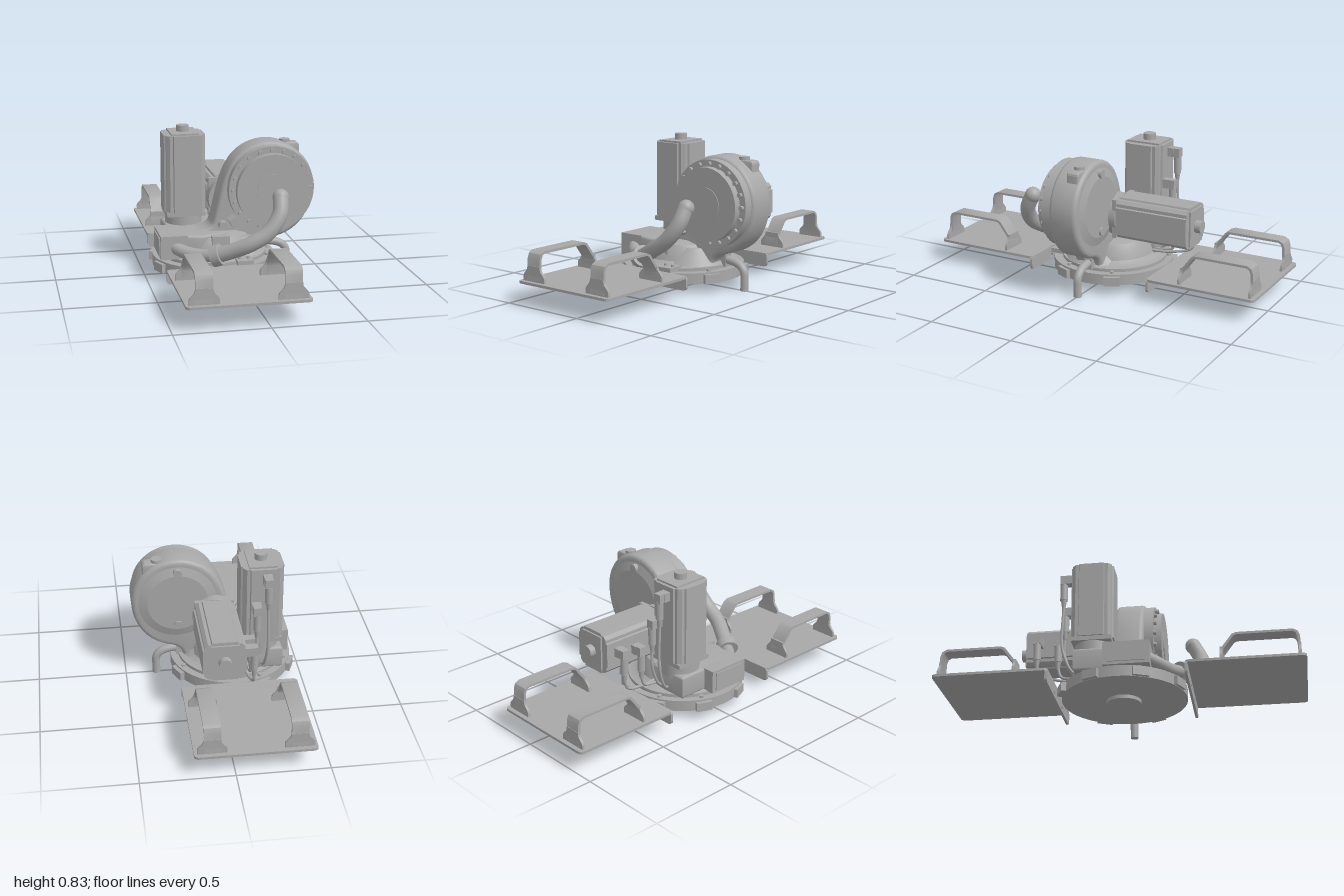
import * as THREE from 'three';
import { toCreasedNormals } from 'three/addons/utils/BufferGeometryUtils.js';

const grey = new THREE.MeshStandardMaterial({ color: 0xa8a8a8 });
grey.name = 'machine grey';
const V = (x, y, z) => new THREE.Vector3(x, y, z);

function add(parent, name, geo, x = 0, y = 0, z = 0) {
  const m = new THREE.Mesh(geo, grey);
  m.name = name;
  m.position.set(x, y, z);
  parent.add(m);
  return m;
}
const box = (w, h, d) => new THREE.BoxGeometry(w, h, d);
const cyl = (r, h, r2 = r) => new THREE.CylinderGeometry(r2, r, h, 48);
const cylZ = (r, h, rBack = r) => new THREE.CylinderGeometry(r, rBack, h, 64).rotateX(Math.PI / 2);
const tube = (pts, r, n = 40) => new THREE.TubeGeometry(new THREE.CatmullRomCurve3(pts), n, r, 20);
const poly = pts => new THREE.Shape(pts.map(p => new THREE.Vector2(p[0], p[1])));

function extrude(shape, depth, bevel = 0) {
  const g = new THREE.ExtrudeGeometry(shape, {
    depth: depth - 2 * bevel, curveSegments: 32, bevelEnabled: bevel > 0,
    bevelSize: bevel, bevelThickness: bevel, bevelOffset: -bevel, bevelSegments: 4,
  });
  g.translate(0, 0, bevel - depth / 2);
  return toCreasedNormals(g, 0.6);
}

function roundedRect(w, h, r) {
  const s = new THREE.Shape(), x = w / 2, y = h / 2;
  s.absarc(x - r, y - r, r, 0, Math.PI / 2);
  s.absarc(-x + r, y - r, r, Math.PI / 2, Math.PI);
  s.absarc(-x + r, -y + r, r, Math.PI, Math.PI * 1.5);
  s.absarc(x - r, -y + r, r, Math.PI * 1.5, Math.PI * 2);
  return s;
}

// Tray with folded flange and two carrying handles, facing +z
function makeTray() {
  const g = new THREE.Group();
  add(g, 'trayPlate', extrude(roundedRect(0.645, 0.635, 0.025), 0.014).rotateX(-Math.PI / 2), 0, 0.128, 0.682);
  const flange = roundedRect(0.645, 0.08, 0.022);
  for (const x of [-0.106, 0.106]) {
    const hole = new THREE.Path();
    hole.absarc(x, -0.019, 0.013, 0, Math.PI * 2, true);
    flange.holes.push(hole);
  }
  add(g, 'trayFlange', extrude(flange, 0.014), 0, 0.095, 0.372);
  const strap = poly([
    [0.975, 0.14], [0.97, 0.26], [0.96, 0.286], [0.935, 0.3], [0.635, 0.3], [0.612, 0.29], [0.556, 0.215], [0.548, 0.19], [0.548, 0.14],
    [0.562, 0.14], [0.562, 0.187], [0.568, 0.207], [0.622, 0.28], [0.638, 0.287], [0.932, 0.287], [0.948, 0.278], [0.956, 0.258], [0.961, 0.14],
  ]);
  const foot = new THREE.Shape();
  foot.moveTo(-0.078, 0.135);
  foot.lineTo(0.078, 0.135);
  foot.lineTo(0.078, 0.16);
  foot.bezierCurveTo(0.07, 0.185, 0.045, 0.185, 0.045, 0.22);
  foot.lineTo(-0.045, 0.22);
  foot.bezierCurveTo(-0.045, 0.185, -0.07, 0.185, -0.078, 0.16);
  for (const x of [-0.2275, 0.2275]) {
    add(g, 'handleStrap', extrude(strap, 0.09).rotateY(-Math.PI / 2), x);
    add(g, 'handleFoot', extrude(foot, 0.014), x, 0, 0.967);
    add(g, 'handleFoot', extrude(foot, 0.014), x, 0, 0.555);
  }
  return g;
}

// Servo motor standing along +y from its mounting flange
function makeMotor(length) {
  const g = new THREE.Group();
  const q = [[0.118, 0.055], [0.118, 0.068], [0.108, 0.072], [0.108, 0.09], [0.09, 0.108], [0.072, 0.108], [0.068, 0.118], [0.055, 0.118]];
  const outline = [];
  for (let i = 0; i < 4; i++) {
    const c = Math.round(Math.cos(i * Math.PI / 2)), s = Math.round(Math.sin(i * Math.PI / 2));
    for (const [x, y] of q) outline.push([x * c - y * s, x * s + y * c]);
  }
  add(g, 'motorBody', extrude(poly(outline), length).rotateX(-Math.PI / 2), 0, length / 2);
  add(g, 'motorFlange', box(0.22, 0.025, 0.22), 0, -0.0125);
  add(g, 'motorCap', box(0.155, 0.01, 0.2), 0, length + 0.005);
  add(g, 'motorShaftCover', cyl(0.035, 0.04), 0, length + 0.025);
  return g;
}

// Elbow plug hanging off a motor, outlet downward
function makePlug(dx, dz) {
  const g = new THREE.Group();
  add(g, 'plugSocket', box(0.05, 0.05, 0.05));
  add(g, 'plugElbow', box(0.045, 0.05, 0.045), dx * 0.035, 0, dz * 0.035);
  add(g, 'plugBody', cyl(0.021, 0.1), dx * 0.04, -0.07, dz * 0.04);
  add(g, 'plugTail', cyl(0.01, 0.05, 0.017), dx * 0.04, -0.14, dz * 0.04);
  return g;
}

export function createModel() {
  const root = new THREE.Group();
  root.name = 'motorUnit';

  for (const turn of [0, Math.PI]) {
    const tray = makeTray();
    tray.name = turn ? 'backTray' : 'frontTray';
    tray.position.x = -0.1075;
    tray.rotation.y = turn;
    root.add(tray);
  }

  // Round base with boss, lugs and turntable casting
  const cx = -0.105;
  add(root, 'baseDisc', cyl(0.345, 0.062), cx, 0.086, 0.005);
  add(root, 'baseBoss', cyl(0.095, 0.022), cx, 0.046);
  for (const a of [0.45, -0.45, 2.0, -2.0, 2.75, -2.75]) {
    const lug = add(root, 'baseLug', box(0.06, 0.05, 0.09), cx + 0.335 * Math.cos(a), 0.082, 0.335 * Math.sin(a));
    lug.rotation.y = -a;
    add(root, 'baseBolt', cyl(0.012, 0.014), cx + 0.315 * Math.cos(a), 0.122, 0.315 * Math.sin(a));
  }
  const turret = [[0, 0.11], [0.3, 0.11], [0.3, 0.135], [0.26, 0.14], [0.235, 0.16], [0.22, 0.21], [0.2, 0.245], [0.15, 0.262], [0, 0.265]];
  add(root, 'turretCasting', toCreasedNormals(new THREE.LatheGeometry(turret.map(p => new THREE.Vector2(...p)), 64), 0.6), cx);

  // Flat shoulder carrying the upright motor, and the side terminal box
  const shoulder = poly([[-0.37, 0.24], [-0.14, 0.24], [-0.1, 0.05], [-0.08, -0.16], [-0.2, -0.2], [-0.36, -0.16]]);
  add(root, 'shoulder', extrude(shoulder, 0.13, 0.015).rotateX(-Math.PI / 2), 0, 0.2);
  add(root, 'terminalBox', box(0.15, 0.132, 0.25), -0.355, 0.199, 0.055);
  add(root, 'terminalCover', box(0.008, 0.1, 0.2), -0.432, 0.199, 0.055);
  add(root, 'motorPedestal', cyl(0.105, 0.1), -0.25, 0.285, -0.145);

  // Teardrop arm housing
  const arm = new THREE.Shape();
  arm.moveTo(-0.3, 0.14);
  arm.lineTo(0.17, 0.14);
  arm.bezierCurveTo(0.18, 0.18, 0.2, 0.195, 0.24, 0.21);
  arm.bezierCurveTo(0.39, 0.24, 0.457, 0.38, 0.457, 0.5);
  arm.absarc(0.2, 0.5, 0.258, 0, Math.PI * 0.78);
  arm.bezierCurveTo(-0.08, 0.56, -0.09, 0.42, -0.12, 0.32);
  arm.bezierCurveTo(-0.13, 0.275, -0.17, 0.262, -0.3, 0.26);
  add(root, 'armHousing', extrude(arm, 0.17, 0.025), 0, 0, 0.02);
  add(root, 'armBackDish', cylZ(0.235, 0.02, 0.17), 0.2, 0.5, -0.07);
  add(root, 'armFoot', cyl(0.19, 0.09, 0.12), 0.0, 0.185, 0.04);

  // Front gearbox cover with its ring of bolts
  add(root, 'coverFlange', cylZ(0.243, 0.055), 0.2, 0.5, 0.1275);
  add(root, 'coverDisc', cylZ(0.205, 0.045), 0.2, 0.5, 0.175);
  add(root, 'coverHub', cylZ(0.095, 0.005), 0.2, 0.5, 0.199);
  for (let i = 0; i < 20; i++) {
    const a = (i / 20) * Math.PI * 2;
    add(root, 'coverBolt', cylZ(0.0125, 0.02), 0.2 + 0.22 * Math.cos(a), 0.5 + 0.22 * Math.sin(a), 0.162);
  }
  for (const y of [0.69, 0.36]) add(root, 'backPlug', cylZ(0.024, 0.035), 0.2, y, -0.075);
  add(root, 'topLug', extrude(roundedRect(0.13, 0.1, 0.02), 0.07, 0.008), 0.325, 0.685, -0.01);
  add(root, 'topLugBoss', cyl(0.03, 0.03), 0.31, 0.737, -0.01);

  // Motors
  const upright = makeMotor(0.44);
  upright.name = 'uprightMotor';
  upright.position.set(-0.25, 0.342, -0.145);
  const level = makeMotor(0.43);
  level.name = 'levelMotor';
  level.rotation.x = -Math.PI / 2;
  level.position.set(0, 0.41, -0.125);
  root.add(upright, level);
  add(root, 'levelMotorCollar', cylZ(0.12, 0.08), 0, 0.41, -0.08);

  // Motor plugs and their cables
  const plugs = [
    [-0.27, 0.73, -0.275, 0, -1], [-0.21, 0.56, -0.275, 0, -1],
    [-0.13, 0.4, -0.36, -1, 0], [-0.13, 0.42, -0.48, -1, 0],
  ];
  plugs.forEach(([x, y, z, dx, dz], i) => {
    const plug = makePlug(dx, dz);
    plug.name = 'motorPlug';
    plug.position.set(x, y, z);
    root.add(plug);
    const px = x + dx * 0.04, pz = z + dz * 0.04, end = V(-0.24 + i * 0.035, 0.17, -0.2);
    const mid = i < 2 ? V(px, 0.3, pz) : V(px, y - 0.21, pz + 0.02);
    add(root, 'motorCable', tube([V(px, y - 0.15, pz), mid, V((px + end.x) / 2, 0.175, (pz + end.z) / 2), end], 0.008));
  });

  // Curved hose with ball end, clamp and thinner feed
  const hose = [V(0.2, 0.51, 0.36), V(0.185, 0.42, 0.405), V(0.12, 0.33, 0.425), V(0.02, 0.265, 0.415), V(-0.07, 0.22, 0.37), V(-0.15, 0.185, 0.325)];
  add(root, 'hose', tube(hose, 0.043));
  add(root, 'hoseBallEnd', new THREE.SphereGeometry(0.045, 32, 20), 0.2, 0.505, 0.36);
  const clamp = add(root, 'hoseClamp', cylZ(0.06, 0.05), -0.145, 0.188, 0.328);
  clamp.lookAt(-0.235, 0.148, 0.278);
  add(root, 'hoseFeed', tube([V(-0.13, 0.19, 0.335), V(-0.22, 0.175, 0.27), V(-0.3, 0.18, 0.21), V(-0.36, 0.2, 0.14)], 0.036));

  // Drain spout bending down at the side
  add(root, 'spout', tube([V(0.12, 0.16, 0), V(0.22, 0.16, 0), V(0.29, 0.142, 0), V(0.32, 0.11, 0), V(0.324, 0.06, 0), V(0.324, 0.002, 0)], 0.023));
  add(root, 'spoutTip', cyl(0.022, 0.04), 0.324, 0.02);
  add(root, 'spoutBracket', box(0.08, 0.07, 0.05), 0.17, 0.16);

  // Small front fittings
  add(root, 'sidePlug', cylZ(0.023, 0.06), -0.072, 0.3, 0.12);
  const stop = add(root, 'stopBlock', box(0.045, 0.05, 0.09), -0.015, 0.325, 0.14);
  stop.rotation.z = 0.55;
  add(root, 'frontBlock', box(0.1, 0.12, 0.1), -0.1, 0.2, 0.17);
  add(root, 'sensorPad', box(0.09, 0.025, 0.1), 0.015, 0.135, 0.28);
  for (const x of [-0.01, 0.04]) add(root, 'sensorBolt', cyl(0.01, 0.015), x, 0.152, 0.28);

  return root;
}
